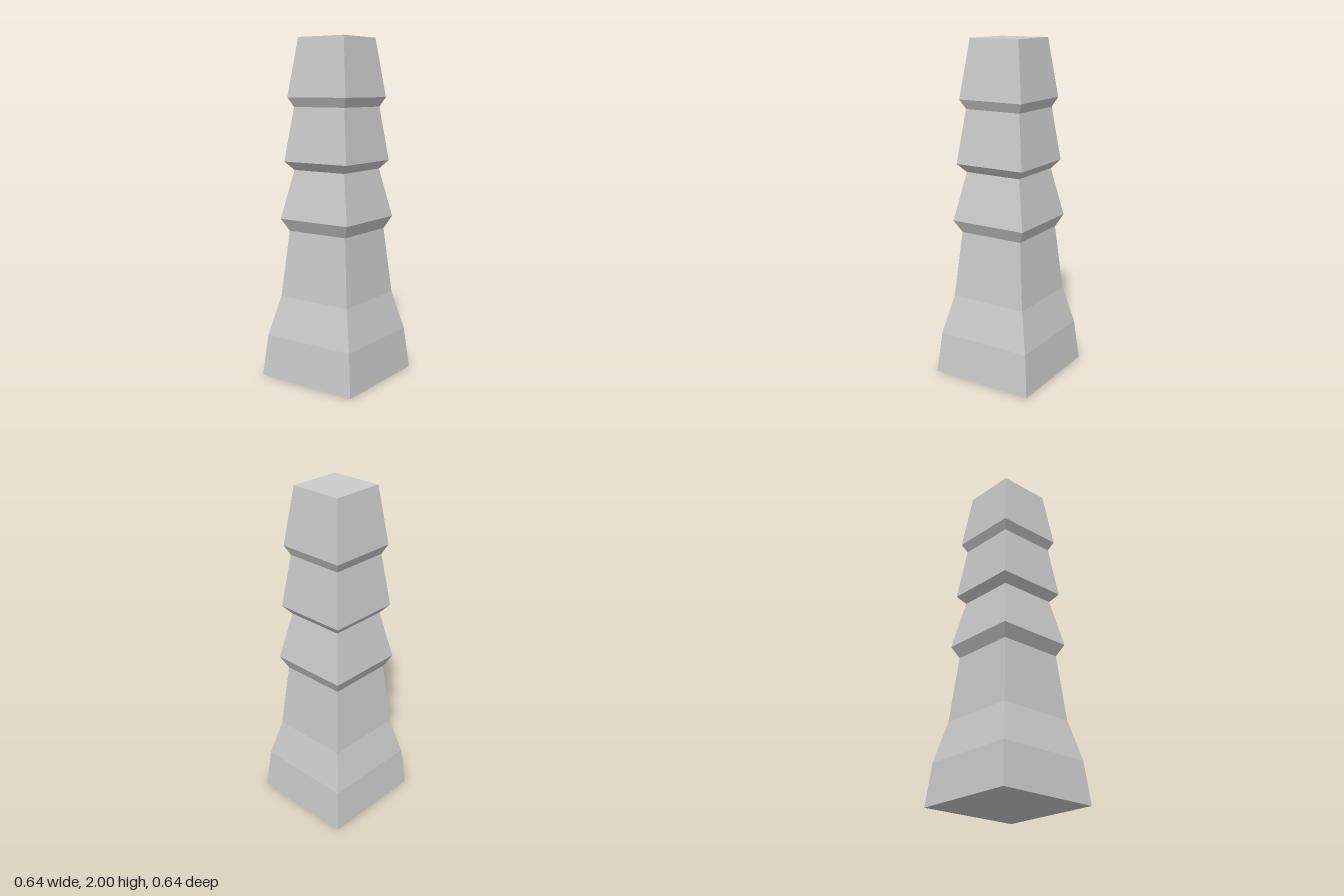
import * as THREE from 'three';

// Each part's profile as [half width, height], from bottom to top; neighbours share a ring.
const parts = {
  base: [[0, 0], [0.32, 0], [0.295, 0.25], [0.238, 0.485]],
  shaft: [[0.238, 0.485], [0.2, 0.88]],
  lowerTier: [[0.2, 0.88], [0.237, 0.953], [0.178, 1.24]],
  middleTier: [[0.178, 1.24], [0.22, 1.29], [0.178, 1.605]],
  topTier: [[0.178, 1.605], [0.205, 1.66], [0.159, 2], [0, 2]],
};

// Four-sided lathe turned so that its flat sides face the axes
function squareSection(profile) {
  const points = profile.map(([half, y]) => new THREE.Vector2(half * Math.SQRT2, y));
  const geometry = new THREE.LatheGeometry(points, 4, Math.PI / 4).toNonIndexed();
  geometry.computeVertexNormals();
  return geometry;
}

export function createModel() {
  const group = new THREE.Group();
  group.name = 'steppedPillar';
  const material = new THREE.MeshStandardMaterial({ color: 0xcccccc, flatShading: true });

  for (const [name, profile] of Object.entries(parts)) {
    const mesh = new THREE.Mesh(squareSection(profile), material);
    mesh.name = name;
    group.add(mesh);
  }
  return group;
}
